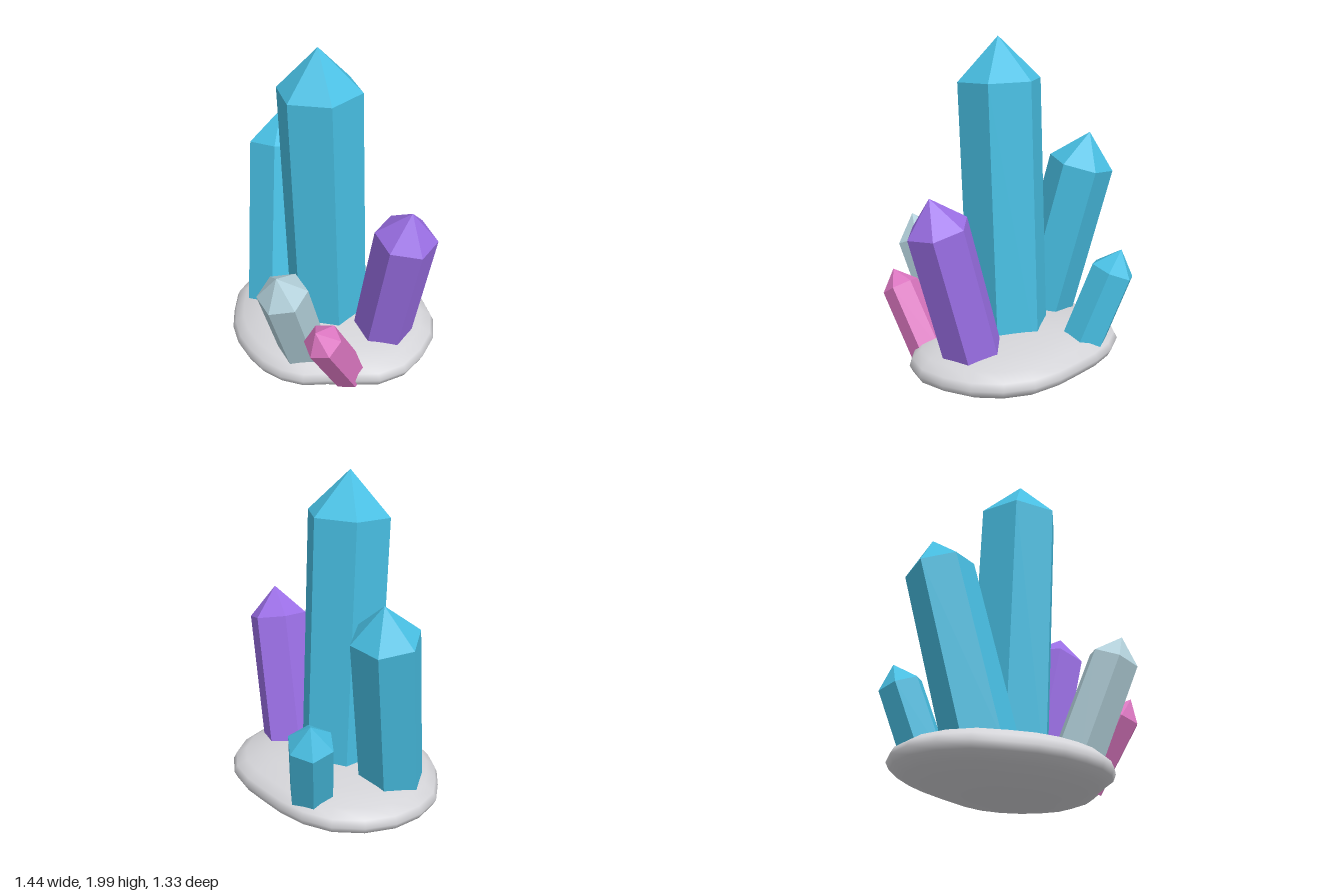
import * as THREE from 'three';
import { mergeVertices } from 'three/addons/utils/BufferGeometryUtils.js';

const mat = (name, color) => {
  const m = new THREE.MeshStandardMaterial({ color });
  m.name = name;
  return m;
};

// Six-sided prism with a pointed cap, running from its base centre to its tip.
function crystal(name, material, base, tip, radius, twistDegrees) {
  const from = new THREE.Vector3(...base);
  const axis = new THREE.Vector3(...tip).sub(from);
  const length = axis.length();
  const profile = [[0, 0], [radius, 0], [radius, length - radius], [0, length]]
    .map(([r, y]) => new THREE.Vector2(r, y));
  const geometry = new THREE.LatheGeometry(profile, 6).toNonIndexed();
  geometry.computeVertexNormals(); // flat facets
  geometry.rotateY(THREE.MathUtils.degToRad(twistDegrees));
  const mesh = new THREE.Mesh(geometry, material);
  mesh.name = name;
  mesh.position.copy(from);
  mesh.quaternion.setFromUnitVectors(new THREE.Vector3(0, 1, 0), axis.normalize());
  return mesh;
}

// Rounded pebble: a lens profile spun around y, then stretched to an uneven outline.
function rockBase(material) {
  // outline radius every 15 degrees, from +x towards +z
  const outline = [
    0.66, 0.62, 0.55, 0.52, 0.54, 0.545, 0.545, 0.545, 0.56, 0.58, 0.605, 0.66,
    0.69, 0.71, 0.712, 0.70, 0.665, 0.63, 0.613, 0.635, 0.67, 0.685, 0.685, 0.67,
  ];
  const profile = [
    [0, 0.01], [0.4, 0.017], [0.68, 0.045], [0.87, 0.09], [0.97, 0.13], [1, 0.17],
    [0.97, 0.21], [0.88, 0.25], [0.68, 0.285], [0.4, 0.312], [0, 0.325],
  ].map(([r, y]) => new THREE.Vector2(r, y));
  let geometry = new THREE.LatheGeometry(profile, outline.length);
  const p = geometry.attributes.position;
  for (let i = 0; i < p.count; i++) {
    const step = Math.round(Math.atan2(p.getZ(i), p.getX(i)) / (Math.PI / 12));
    const r = outline[(step + 24) % 24];
    const z = p.getZ(i) * r;
    p.setXYZ(i, p.getX(i) * r, p.getY(i) - 0.04 * z, z); // slightly lower at the front
  }
  geometry.deleteAttribute('uv');
  geometry.deleteAttribute('normal');
  geometry = mergeVertices(geometry, 1e-4);
  geometry.computeVertexNormals();
  const mesh = new THREE.Mesh(geometry, material);
  mesh.name = 'rockBase';
  return mesh;
}

export function createModel() {
  const blue = mat('crystalBlue', 0x48bfe3);
  const purple = mat('crystalPurple', 0x9b6fe6);
  const pale = mat('crystalPale', 0xb4d2dc);
  const pink = mat('crystalPink', 0xdd77c2);
  const stone = mat('stoneGrey', 0xd4d4d8);

  const model = new THREE.Group();
  model.name = 'crystalCluster';
  model.add(
    rockBase(stone),
    crystal('mainCrystal', blue, [-0.01, 0.1, -0.045], [-0.01, 2, 0.045], 0.243, 0),
    crystal('tallSideCrystal', blue, [-0.377, 0.17, 0.058], [-0.555, 1.415, -0.19], 0.195, 36),
    crystal('smallBackCrystal', blue, [-0.23, 0.21, -0.425], [-0.41, 0.795, -0.563], 0.133, 57),
    crystal('purpleCrystal', purple, [0.36, 0.24, -0.125], [0.6, 1.2, -0.05], 0.177, 10),
    crystal('paleFrontCrystal', pale, [0.124, 0.2, 0.303], [0.2, 0.905, 0.585], 0.145, 12.5),
    crystal('smallPinkCrystal', pink, [0.395, 0.145, 0.21], [0.418, 0.617, 0.512], 0.111, 0),
  );
  return model;
}
